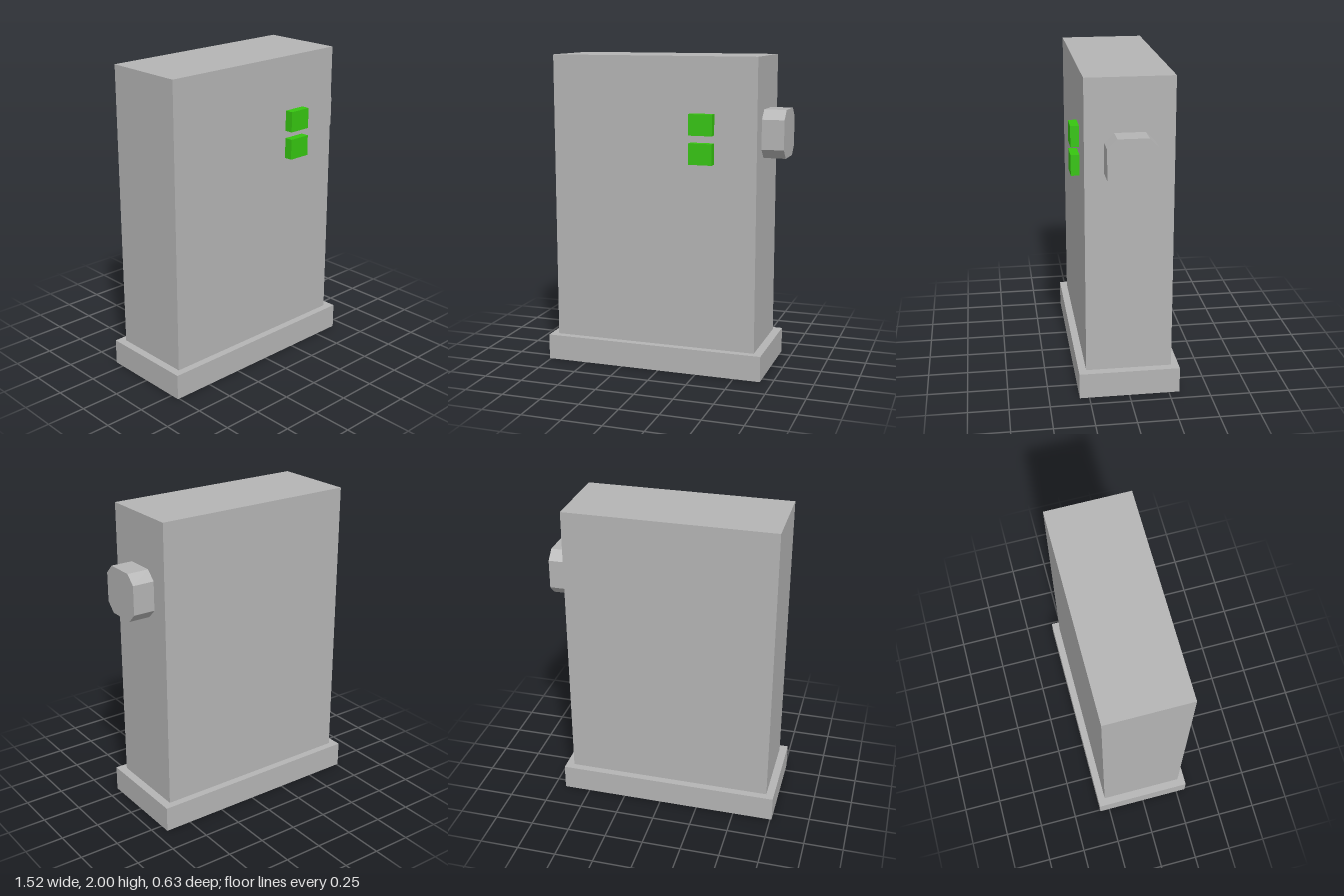
import * as THREE from 'three';

export function createModel() {
  const model = new THREE.Group();
  model.name = 'cabinet';

  const grey = new THREE.MeshStandardMaterial({ color: 0xb4b4b4 });
  grey.name = 'grey';
  const green = new THREE.MeshStandardMaterial({ color: 0x36c510 });
  green.name = 'green';

  function add(name, geometry, material) {
    const mesh = new THREE.Mesh(geometry, material);
    mesh.name = name;
    model.add(mesh);
    return mesh;
  }

  // Box given by its minimum and maximum corners
  function addBox(name, [x0, y0, z0], [x1, y1, z1], material) {
    const box = add(name, new THREE.BoxGeometry(x1 - x0, y1 - y0, z1 - z0), material);
    box.position.set((x0 + x1) / 2, (y0 + y1) / 2, (z0 + z1) / 2);
  }

  // Plinth and main body
  addBox('base', [-0.76, 0, -0.317], [0.673, 0.164, 0.311], grey);
  addBox('body', [-0.71, 0.164, -0.27], [0.62, 2, 0.264], grey);

  // Two stacked buttons on the front
  addBox('upperButton', [0.202, 1.523, 0.264], [0.352, 1.654, 0.317], green);
  addBox('lowerButton', [0.202, 1.344, 0.264], [0.352, 1.475, 0.317], green);

  // Square side knob with cut corners
  const r = 0.15, c = 0.092;
  const outline = new THREE.Shape([
    [r, -c], [r, c], [c, r], [-c, r], [-r, c], [-r, -c], [-c, -r], [c, -r],
  ].map(([x, y]) => new THREE.Vector2(x, y)));
  const knob = add('sideKnob',
    new THREE.ExtrudeGeometry(outline, { depth: 0.14, bevelEnabled: false }), grey);
  knob.rotation.y = Math.PI / 2;
  knob.position.set(0.62, 1.525, -0.003);

  return model;
}
